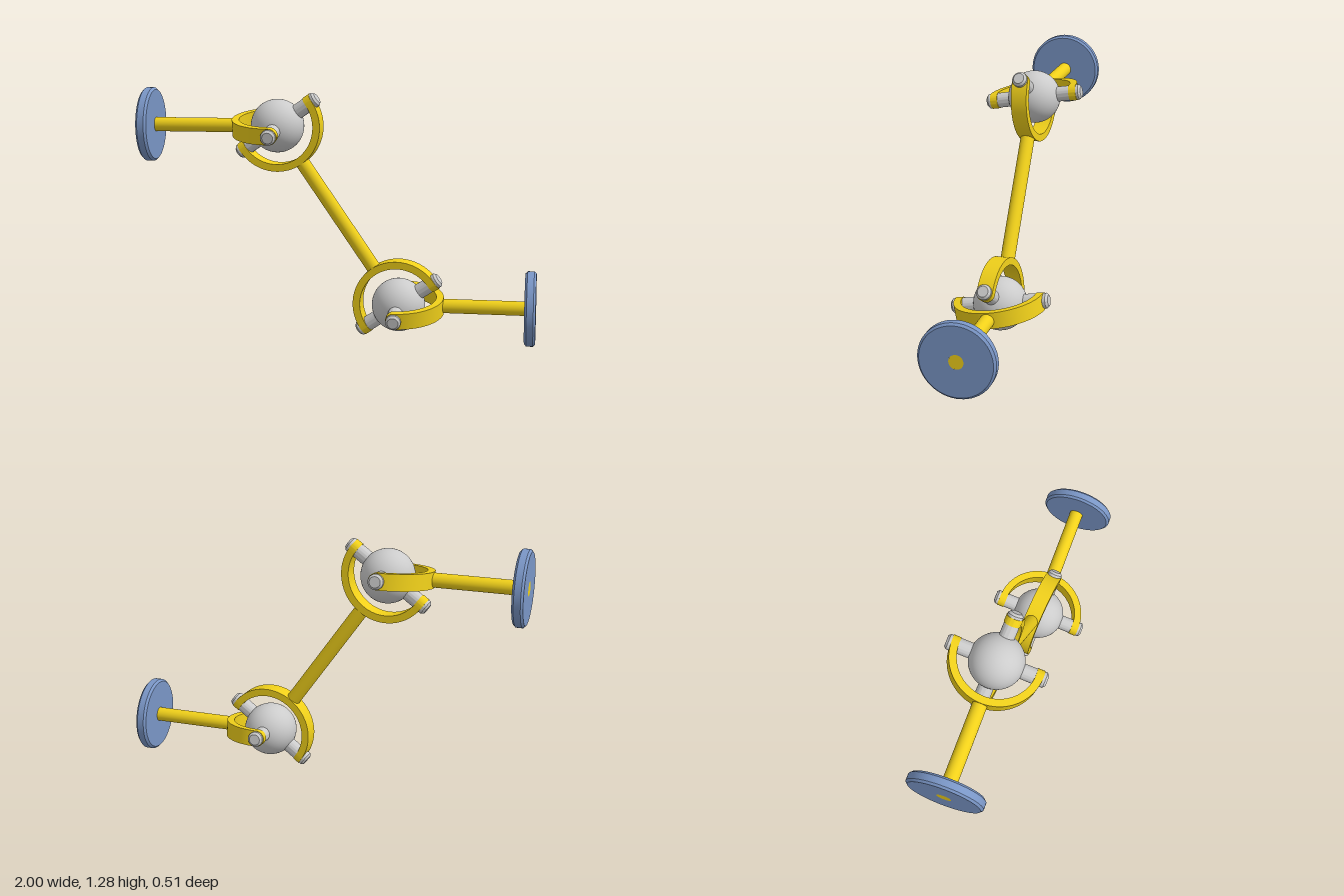
import * as THREE from 'three';
import { toCreasedNormals } from 'three/addons/utils/BufferGeometryUtils.js';

const yellow = new THREE.MeshStandardMaterial({ color: 0xf0d01a });
const blue = new THREE.MeshStandardMaterial({ color: 0x7a96c6 });
const grey = new THREE.MeshStandardMaterial({ color: 0xcccccc });

const SHAFT_R = 0.036, PIN_R = 0.038, PIN_END = 0.253;
const BAND_R = 0.211, BAND_T = 0.037, BAND_HALF = 0.041;
const END = 0.69; // joint centre to outer face of the flange

function part(name, geometry, material, parent) {
  const mesh = new THREE.Mesh(geometry, material);
  mesh.name = name;
  parent.add(mesh);
  return mesh;
}

function lathe(points) {
  const profile = points.map(([r, y]) => new THREE.Vector2(r, y));
  return toCreasedNormals(new THREE.LatheGeometry(profile, 64), 0.5);
}

// Shaft along local y between two distances from the joint centre
function shaftGeometry(from, to) {
  return new THREE.CylinderGeometry(SHAFT_R, SHAFT_R, to - from, 40).translate(0, (from + to) / 2, 0);
}

// Half-ring band around +y with rounded tabs that hold the pins on local x
function forkGeometry() {
  const tab = 10, arc = 48, n = arc + 2 * tab;
  const g = new THREE.BoxGeometry(1, 1, 1, n, 1, 1);
  const p = g.attributes.position;
  for (let k = 0; k < p.count; k++) {
    const i = Math.round((p.getX(k) + 0.5) * n);
    const r = BAND_R + p.getY(k) * BAND_T;
    const a = THREE.MathUtils.clamp((i - tab) / arc, 0, 1) * Math.PI;
    const t = Math.min(1, Math.min(i, n - i) / tab) * Math.PI / 2;
    const past = BAND_HALF * Math.cos(t);
    const half = Math.max(0.002, BAND_HALF * Math.sin(t));
    p.setXYZ(k, r * Math.cos(a), r * Math.sin(a) - past, -2 * half * p.getZ(k));
  }
  return toCreasedNormals(g, 0.5);
}

// Pin running through the ball, chamfered at both tips
function pinGeometry() {
  const c = 0.011;
  return lathe([
    [0, -PIN_END], [PIN_R - c, -PIN_END], [PIN_R, -PIN_END + c],
    [PIN_R, PIN_END - c], [PIN_R - c, PIN_END], [0, PIN_END],
  ]).rotateZ(Math.PI / 2);
}

// Disc with bevelled rims and a hole for the shaft
function flangeGeometry() {
  const r = 0.188, b = 0.011, inner = END - 0.055;
  return lathe([
    [SHAFT_R, inner], [r - b, inner], [r, inner + b],
    [r, END - b], [r - b, END], [SHAFT_R, END],
  ]);
}

// Group with x along the pin and y along the shaft
function frame(name, centre, pin, along, parent) {
  const g = new THREE.Group();
  g.name = name;
  const side = new THREE.Vector3().crossVectors(pin, along);
  g.quaternion.setFromRotationMatrix(new THREE.Matrix4().makeBasis(pin, along, side));
  g.position.copy(centre);
  parent.add(g);
  return g;
}

export function createModel() {
  const model = new THREE.Group();
  model.name = 'doubleUniversalJoint';

  const upper = new THREE.Vector3(-0.31, 1.088, 0);
  const lower = new THREE.Vector3(0.31, 0.188, 0);
  const link = lower.clone().sub(upper);
  const span = link.length();
  link.normalize();

  // The two pins of each cross are square to each other and to their shafts
  const tilt = THREE.MathUtils.degToRad(10);
  const outerPin = new THREE.Vector3(0, -Math.sin(tilt), Math.cos(tilt));
  const innerPin = new THREE.Vector3().crossVectors(outerPin, link).normalize();

  const fork = forkGeometry(), pin = pinGeometry(), flange = flangeGeometry();
  const ball = new THREE.SphereGeometry(0.135, 48, 32);

  for (const [label, centre, sign] of [['upper', upper, -1], ['lower', lower, 1]]) {
    part(label + 'Ball', ball, grey, model).position.copy(centre);

    // Outer end: fork, shaft and flange
    const outer = frame(label + 'EndShaft', centre, outerPin, new THREE.Vector3(sign, 0, 0), model);
    part('endFork', fork, yellow, outer);
    part('endShaft', shaftGeometry(BAND_R, END), yellow, outer);
    part('endFlange', flange, blue, outer);
    part('endForkPin', pin, grey, outer);

    // Inner end: fork of the middle shaft
    const inner = frame(label + 'MiddleFork', centre, innerPin, link.clone().multiplyScalar(-sign), model);
    part('middleFork', fork, yellow, inner);
    part('middleForkPin', pin, grey, inner);
    if (sign < 0) part('middleShaft', shaftGeometry(BAND_R, span - BAND_R), yellow, inner);
  }
  return model;
}
